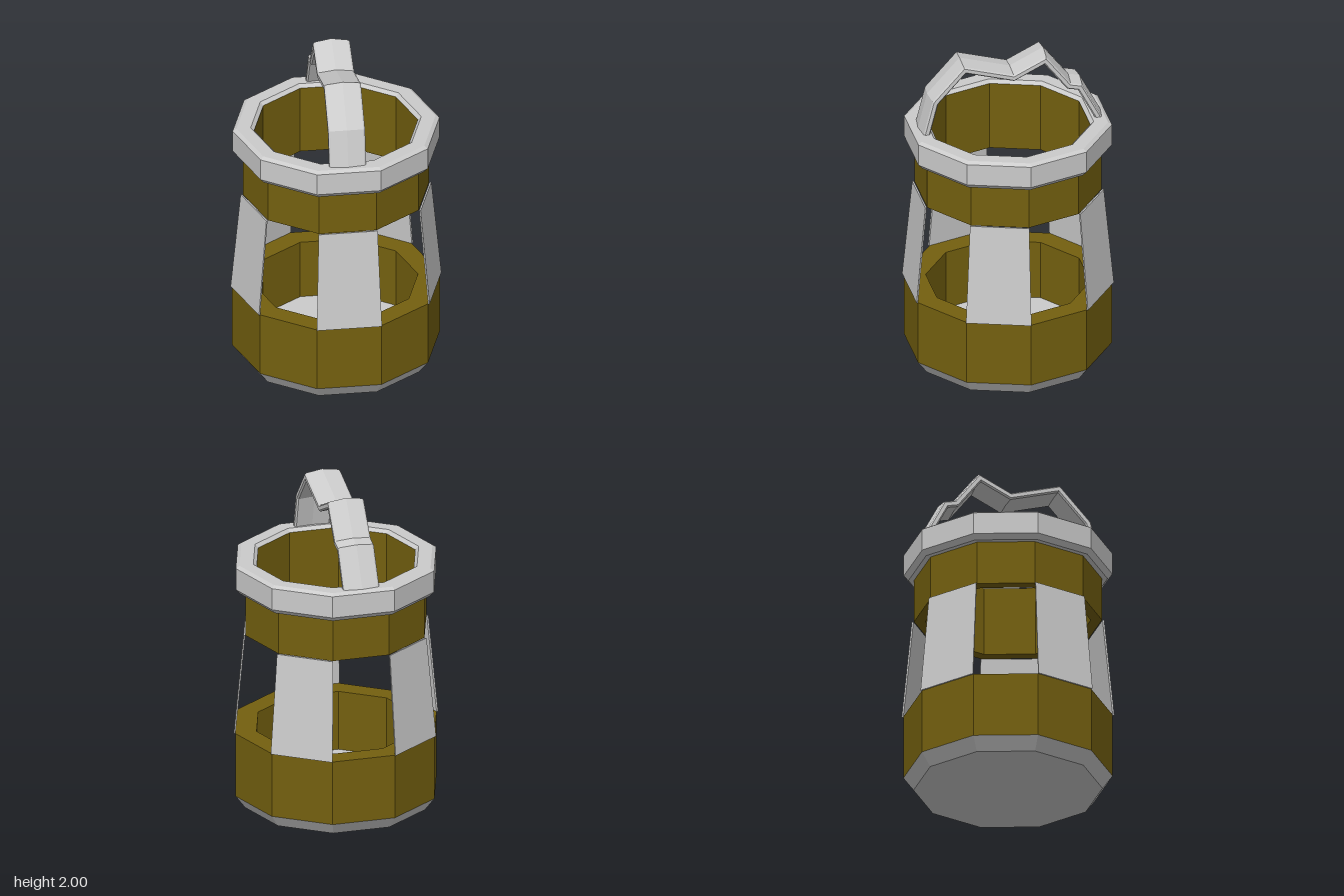
import * as THREE from 'three';

const SIDES = 10;
const grey = new THREE.MeshStandardMaterial({ color: 0xcccccc, flatShading: true });
const olive = new THREE.MeshStandardMaterial({ color: 0x74600f, flatShading: true });

// Ten-sided turned part; a closed profile runs up the outside, down the inside.
function turned(name, profile, material) {
  const points = profile.map(([r, y]) => new THREE.Vector2(r, y));
  const mesh = new THREE.Mesh(new THREE.LatheGeometry(points, SIDES, Math.PI / 2), material);
  mesh.name = name;
  return mesh;
}

// Thin leaning plate that follows one facet of the tapered body.
function panelGeometry() {
  const geo = new THREE.BoxGeometry(1, 1, 1);
  const p = geo.attributes.position;
  const half = Math.PI / SIDES;
  for (let i = 0; i < p.count; i++) {
    const top = p.getY(i) > 0;
    const r = (top ? 0.57 : 0.63) - (p.getZ(i) > 0 ? 0 : 0.01);
    p.setXYZ(i, Math.sign(p.getX(i)) * r * Math.sin(half), top ? 1.1 : 0.48, r * Math.cos(half));
  }
  geo.computeVertexNormals();
  return geo;
}

// Strap swept along a bent path [z, y], with mitred corners.
function strapGeometry(path, section) {
  const pts = path.map(([z, y]) => new THREE.Vector2(z, y));
  const normal = (a, b) => {
    const d = b.clone().sub(a).normalize();
    return new THREE.Vector2(d.y, -d.x);
  };
  const n = section.length;
  const verts = [];
  const index = [];
  pts.forEach((pt, i) => {
    const n0 = normal(pts[Math.max(i - 1, 0)], pts[Math.max(i, 1)]);
    const n1 = i < pts.length - 1 ? normal(pt, pts[i + 1]) : n0;
    const m = n0.clone().add(n1);
    m.multiplyScalar(2 / m.lengthSq());
    for (const [x, d] of section) verts.push(x, pt.y + m.y * d, pt.x + m.x * d);
    if (i === 0) return;
    for (let j = 0; j < n; j++) {
      const a = (i - 1) * n + j, b = (i - 1) * n + (j + 1) % n;
      index.push(a, b, a + n, b, b + n, a + n);
    }
  });
  const geo = new THREE.BufferGeometry();
  geo.setAttribute('position', new THREE.Float32BufferAttribute(verts, 3));
  geo.setIndex(index);
  geo.computeVertexNormals();
  return geo;
}

export function createModel() {
  const group = new THREE.Group();

  // Bevelled foot with the floor inside the base
  group.add(turned('foot', [[0, 0], [0.56, 0], [0.62, 0.08], [0.49, 0.08], [0.49, 0.11], [0, 0.11]], grey));

  // Lower and upper bands
  group.add(turned('lowerBand', [[0.62, 0.08], [0.62, 0.48], [0.49, 0.48], [0.49, 0.09]], olive));
  group.add(turned('upperBand', [[0.49, 1.53], [0.49, 1.1], [0.557, 1.1], [0.557, 1.38]], olive));

  // Rim with outer and inner bevels
  group.add(turned('rim', [
    [0.49, 1.37], [0.59, 1.37], [0.618, 1.4], [0.618, 1.535], [0.595, 1.55],
    [0.51, 1.55], [0.489, 1.53],
  ], grey));

  // Five panels on every other facet
  const panelGeo = panelGeometry();
  for (let i = 0; i < 5; i++) {
    const panel = new THREE.Mesh(panelGeo, grey);
    panel.name = 'sidePanel' + (i + 1);
    panel.rotation.y = (i * Math.PI * 2) / 5;
    group.add(panel);
  }

  // Crooked strap handle, crowned along its middle
  const path = [
    [0.56, 1.5], [0.492, 1.77], [0.295, 1.988], [-0.01, 1.9],
    [-0.213, 2], [-0.365, 1.803], [-0.435, 1.787], [-0.575, 1.52],
  ];
  const section = [
    [-0.1, -0.012], [0, 0], [0.1, -0.012], [0.11, -0.02],
    [0.11, -0.042], [0.1, -0.05], [0, -0.042], [-0.1, -0.05], [-0.11, -0.042], [-0.11, -0.02],
  ];
  const strap = grey.clone();
  strap.side = THREE.DoubleSide;
  const handle = new THREE.Mesh(strapGeometry(path, section), strap);
  handle.name = 'handle';
  group.add(handle);

  return group;
}
